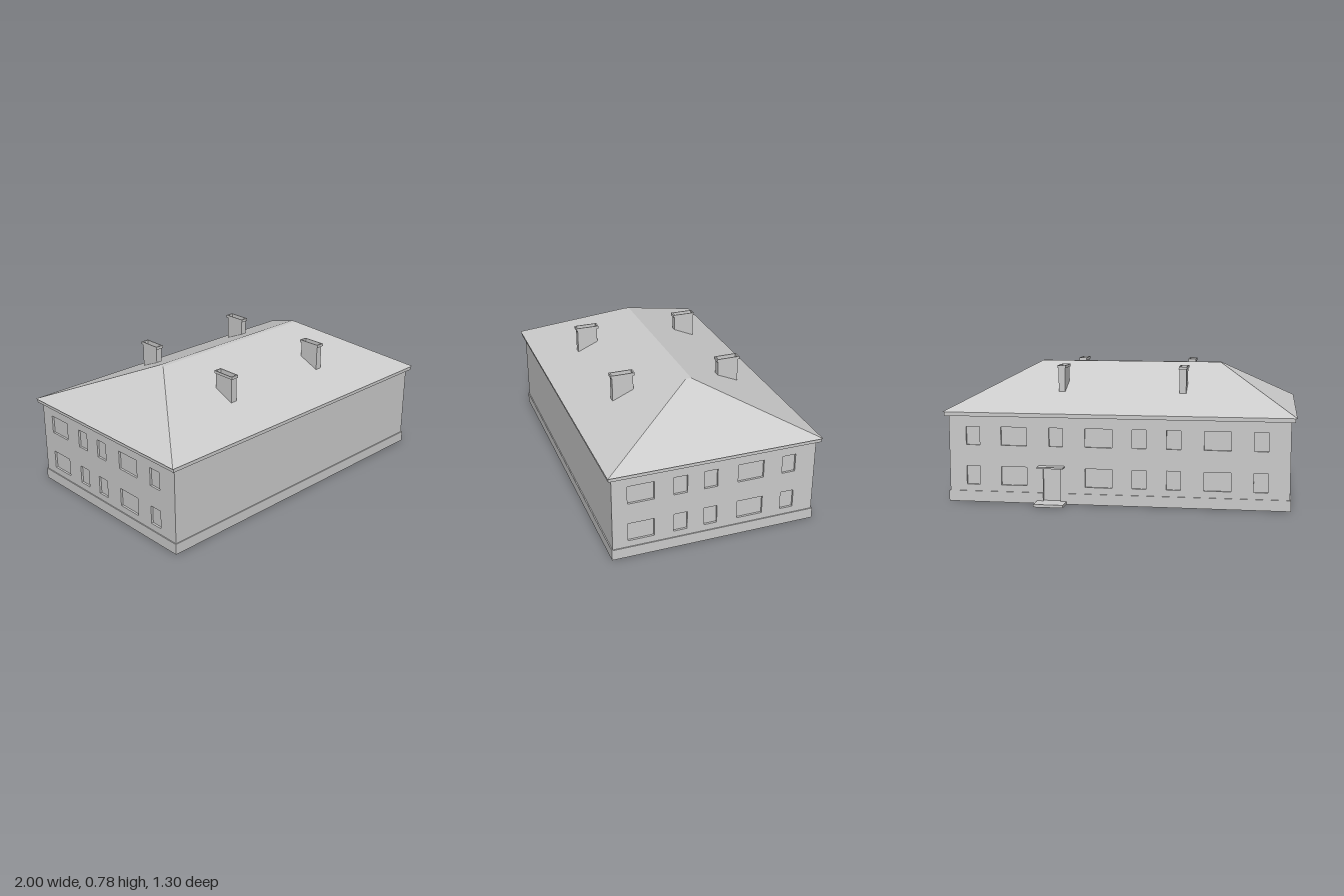
import * as THREE from 'three';

const material = new THREE.MeshStandardMaterial({ color: 0xcccccc, flatShading: true, side: THREE.DoubleSide });
const CZ = 0.037;                    // centre of the house along z
const WALL_X = 0.97, WALL_Z = 0.584; // half sizes of the walls
const WALL_TOP = 0.5;
const RECESS = 0.012;

function add(parent, name, geometry, x = 0, y = 0, z = 0) {
  const mesh = new THREE.Mesh(geometry, material);
  mesh.name = name;
  mesh.position.set(x, y, z);
  parent.add(mesh);
  return mesh;
}

// Box given by its limits
function block(parent, name, x0, x1, y0, y1, z0, z1) {
  return add(parent, name, new THREE.BoxGeometry(x1 - x0, y1 - y0, z1 - z0),
    (x0 + x1) / 2, (y0 + y1) / 2, (z0 + z1) / 2);
}

// Box without the listed faces (0 +x, 1 -x, 2 +y, 3 -y, 4 +z, 5 -z)
function openBox(w, h, d, missing) {
  const geometry = new THREE.BoxGeometry(w, h, d);
  const index = Array.from(geometry.index.array);
  geometry.setIndex(index.filter((_, i) => !missing.includes(Math.floor(i / 6))));
  geometry.clearGroups();
  return geometry;
}

function rectangle(Type, x0, x1, y0, y1) {
  const r = new Type();
  r.moveTo(x0, y0);
  r.lineTo(x1, y0);
  r.lineTo(x1, y1);
  r.lineTo(x0, y1);
  r.closePath();
  return r;
}

// Wall facing local +z; openings are { name, u, w, y0, y1 }
function wall(name, half, openings) {
  const group = new THREE.Group();
  group.name = name;
  const shape = rectangle(THREE.Shape, -half, half, 0, WALL_TOP);
  for (const o of openings) {
    shape.holes.push(rectangle(THREE.Path, o.u - o.w / 2, o.u + o.w / 2, o.y0, o.y1));
    add(group, o.name, openBox(o.w, o.y1 - o.y0, RECESS, [4]), o.u, (o.y0 + o.y1) / 2, -RECESS / 2);
  }
  add(group, name + 'Face', new THREE.ShapeGeometry(shape));
  return group;
}

// Two storeys of windows from [u, width] pairs
function windows(columns, y0, y1) {
  return columns.map(([u, w]) => ({ name: 'window', u, w, y0, y1 }));
}

// Hipped roof: eave rectangle rising to a narrow flat ridge
function roofGeometry() {
  const ring = (hx, hz, y) => [[-hx, y, hz], [hx, y, hz], [hx, y, -hz], [-hx, y, -hz]];
  const points = [...ring(1, 0.609, 0.52), ...ring(0.55, 0.016, 0.777)];
  const index = [4, 5, 6, 4, 6, 7, 0, 2, 1, 0, 3, 2];
  for (let i = 0; i < 4; i++) {
    const j = (i + 1) % 4;
    index.push(i, j, j + 4, i, j + 4, i + 4);
  }
  const geometry = new THREE.BufferGeometry();
  geometry.setAttribute('position', new THREE.Float32BufferAttribute(points.flat(), 3));
  geometry.setIndex(index);
  const flat = geometry.toNonIndexed();
  flat.computeVertexNormals();
  return flat;
}

// Hollow chimney with a projecting rim
function chimney(x, z) {
  const group = new THREE.Group();
  group.name = 'chimney';
  const w = 0.038, d = 0.123;
  add(group, 'chimneyShaft', openBox(w, 0.17, d, [2, 3]), 0, 0.685, 0);
  const rim = rectangle(THREE.Shape, -w / 2 - 0.005, w / 2 + 0.005, -d / 2 - 0.008, d / 2 + 0.008);
  rim.holes.push(rectangle(THREE.Path, -w / 2, w / 2, -d / 2, d / 2));
  const cap = new THREE.ExtrudeGeometry(rim, { depth: 0.016, bevelEnabled: false });
  cap.rotateX(-Math.PI / 2);
  add(group, 'chimneyCap', cap, 0, 0.759, 0);
  group.position.set(x, 0, z);
  return group;
}

export function createModel() {
  const house = new THREE.Group();
  house.name = 'house';

  // Blank front wall
  const front = wall('frontWall', WALL_X, []);
  front.position.z = CZ + WALL_Z;
  house.add(front);

  // Back wall with windows and the entrance
  const doorX = 0.37;
  const backColumns = [[-0.83, 0.08], [-0.59, 0.15], [-0.345, 0.08], [-0.1, 0.155],
    [0.13, 0.08], [0.325, 0.08], [0.57, 0.15], [0.81, 0.08]];
  const back = wall('backWall', WALL_X, [
    ...windows(backColumns, 0.33, 0.436),
    ...windows(backColumns.filter((_, i) => i !== 2), 0.1, 0.207),
    { name: 'door', u: -doorX, w: 0.1, y0: 0.016, y1: 0.205 },
  ]);
  back.rotation.y = Math.PI;
  back.position.z = CZ - WALL_Z;
  house.add(back);

  // End walls, the same turned half round
  const endColumns = [[0.461, 0.148], [0.239, 0.077], [0.066, 0.075], [-0.165, 0.15], [-0.389, 0.078]]
    .map(([z, w]) => [CZ - z, w]);
  for (const side of [1, -1]) {
    const end = wall(side > 0 ? 'leftWall' : 'rightWall', WALL_Z, [
      ...windows(endColumns, 0.33, 0.436),
      ...windows(endColumns, 0.1, 0.207),
    ]);
    end.rotation.y = side * Math.PI / 2;
    end.position.set(side * WALL_X, 0, CZ);
    house.add(end);
  }

  // Plinth, interrupted at the door
  const t = 0.006, top = 0.062, px = WALL_X + t;
  const zf = CZ + WALL_Z, zb = CZ - WALL_Z;
  block(house, 'plinthFront', -px, px, 0, top, zf, zf + t);
  block(house, 'plinthBack', -px, doorX - 0.05, 0, top, zb - t, zb);
  block(house, 'plinthBack', doorX + 0.05, px, 0, top, zb - t, zb);
  block(house, 'plinthLeft', WALL_X, px, 0, top, zb, zf);
  block(house, 'plinthRight', -px, -WALL_X, 0, top, zb, zf);

  // Entrance step and canopy
  block(house, 'entranceStep', 0.285, 0.455, 0, 0.016, -0.65, zb);
  block(house, 'entranceCanopy', 0.295, 0.445, 0.21, 0.219, -0.6, zb);

  // Eaves and roof
  block(house, 'eaves', -0.992, 0.992, 0.497, 0.52, CZ - 0.604, CZ + 0.604);
  add(house, 'roof', roofGeometry(), 0, 0, CZ);

  // Four chimneys
  for (const x of [-0.355, 0.352]) {
    for (const z of [0.359, -0.277]) house.add(chimney(x, z));
  }
  return house;
}
